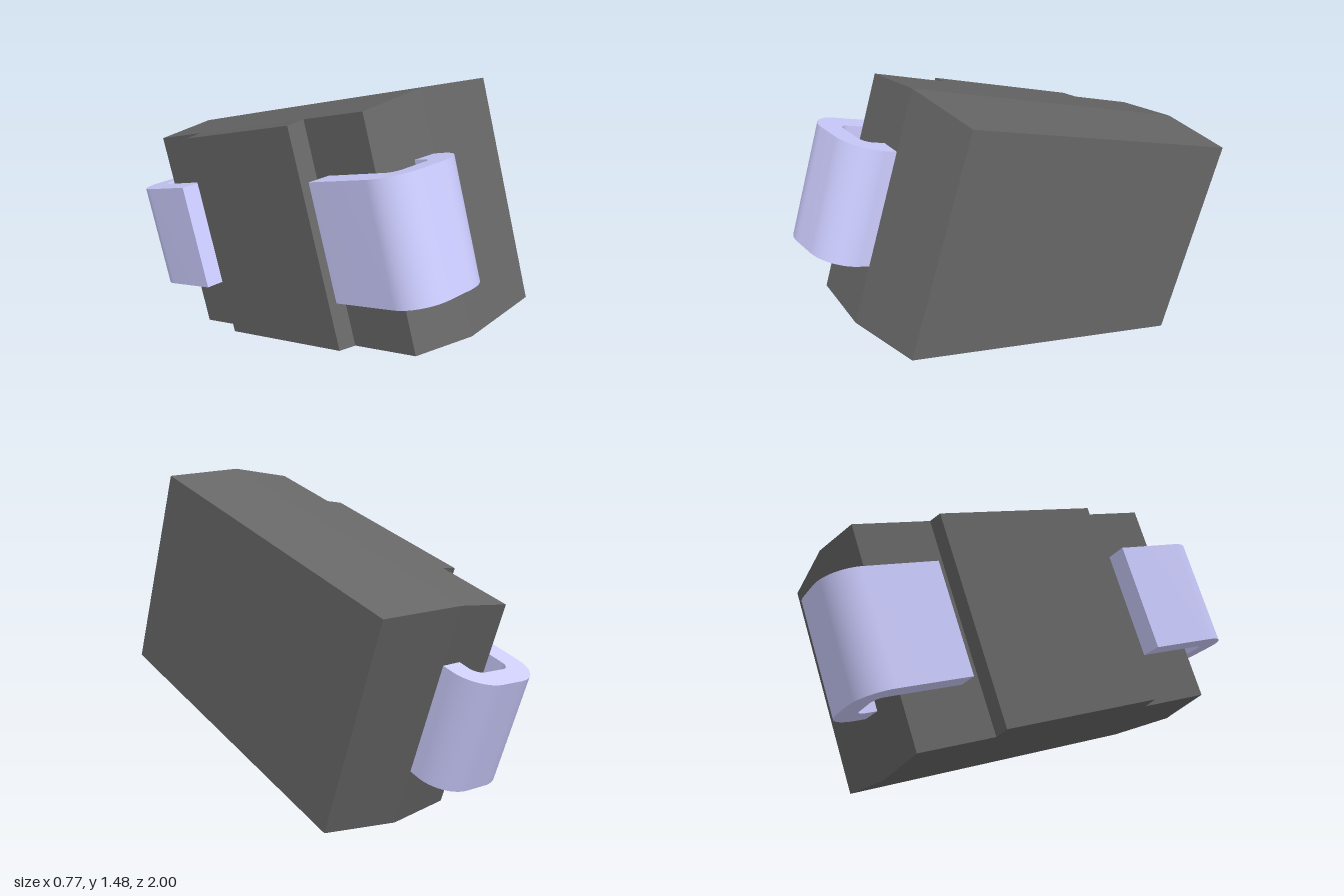
import * as THREE from 'three';
import { toCreasedNormals } from 'three/addons/utils/BufferGeometryUtils.js';

const bodyMat = new THREE.MeshStandardMaterial({ color: 0x666666 });
const leadMat = new THREE.MeshStandardMaterial({ color: 0xccccff });

// Rectangular block whose cross-section changes along x; sections are [x, halfHeight, halfLength]
function taperedBlock(name, sections) {
  const steps = sections.length - 1;
  const box = new THREE.BoxGeometry(steps, 2, 2, steps, 1, 1);
  const p = box.attributes.position;
  for (let i = 0; i < p.count; i++) {
    const [x, h, l] = sections[Math.round(p.getX(i) + steps / 2)];
    p.setXYZ(i, x, p.getY(i) * h, p.getZ(i) * l);
  }
  const geo = box.toNonIndexed();
  geo.computeVertexNormals();
  const mesh = new THREE.Mesh(geo, bodyMat);
  mesh.name = name;
  return mesh;
}

// Bent metal strip: long foot, rounded bends and a short end entering the body
function lead(name, side) {
  const x0 = -0.39, x1 = 0.01, outer = 0.976, t = 0.1, r = 0.146;
  const foot = 0.494, tip = 0.74, bend = outer - r;
  const s = new THREE.Shape();
  s.moveTo(x0, foot);
  s.lineTo(x0, bend);
  s.absarc(x0 + r, bend, r, Math.PI, Math.PI / 2, true);
  s.absarc(x1 - r, bend, r, Math.PI / 2, 0, true);
  s.lineTo(x1, tip);
  s.lineTo(x1 - t, tip);
  s.absarc(x1 - r, bend, r - t, 0, Math.PI / 2, false);
  s.absarc(x0 + r, bend, r - t, Math.PI / 2, Math.PI, false);
  s.lineTo(x0 + t, foot);
  s.closePath();
  const width = 0.492;
  const geo = new THREE.ExtrudeGeometry(s, { depth: width, bevelEnabled: false, curveSegments: 10 });
  geo.translate(0, 0, -width / 2);
  geo.rotateX(side * Math.PI / 2);
  const mesh = new THREE.Mesh(toCreasedNormals(geo, 0.6), leadMat);
  mesh.name = name;
  return mesh;
}

export function createModel() {
  const model = new THREE.Group();
  model.name = 'surfaceMountComponent';

  // Case with a ridge around its middle, plus a raised pad between the leads
  model.add(
    taperedBlock('case', [[-0.28, 0.476, 0.766], [0.01, 0.503, 0.785], [0.385, 0.47, 0.762]]),
    taperedBlock('standoffPad', [[-0.36, 0.469, 0.399], [-0.28, 0.476, 0.404]]),
    lead('frontLead', 1),
    lead('backLead', -1)
  );

  // The whole part is tilted with its front end raised
  model.rotation.x = THREE.MathUtils.degToRad(-20);
  model.position.y = 0.742;

  const root = new THREE.Group();
  root.add(model);
  return root;
}
